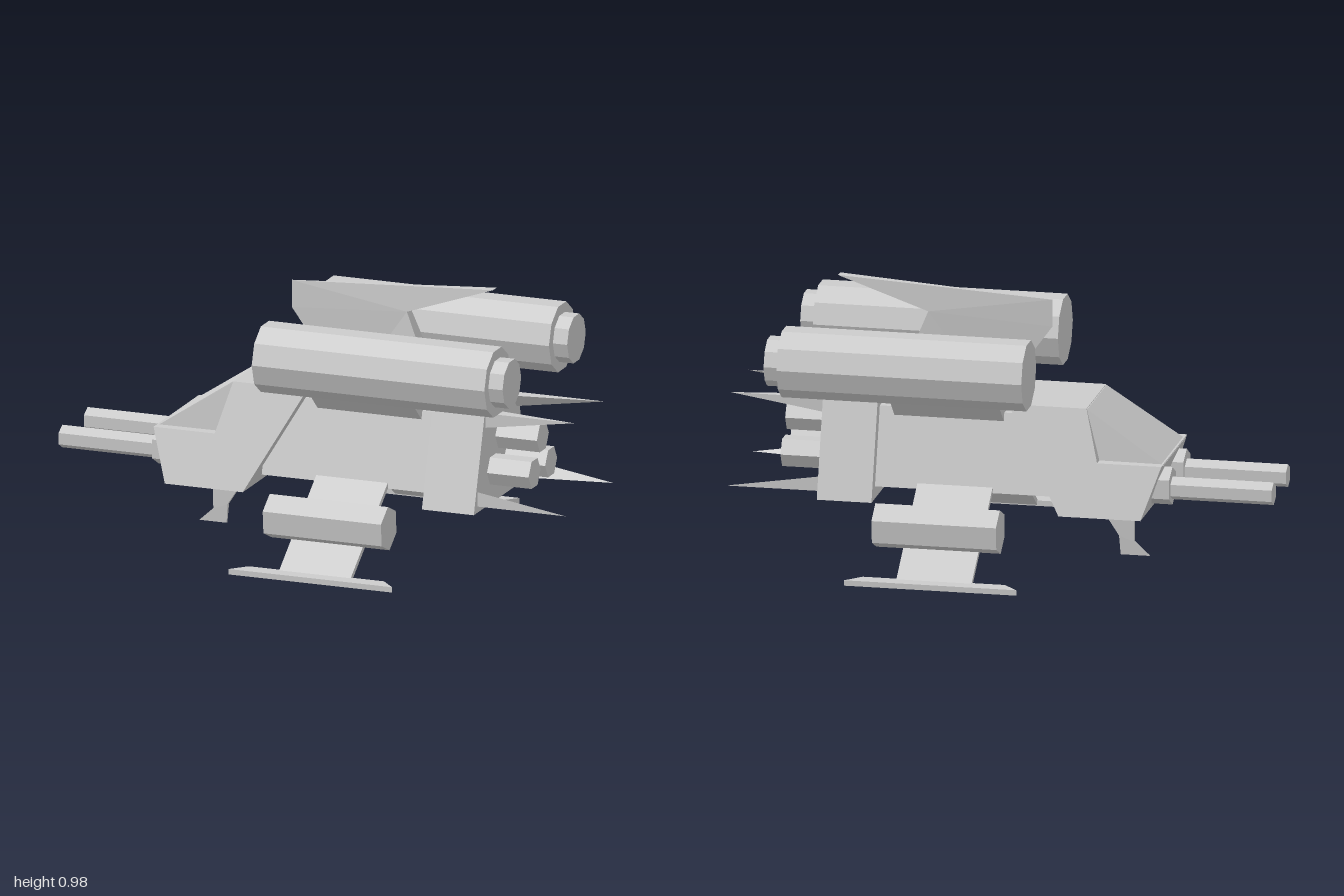
import * as THREE from 'three';

const material = new THREE.MeshStandardMaterial({ color: 0xcccccc, flatShading: true, side: THREE.DoubleSide });

// Closed solid between two matching rings of [x, y, z]; caps fan out from the first corner.
function loft(a, b) {
  const n = a.length, index = [], points = [...a, ...b];
  for (let i = 0; i < n; i++) {
    const j = (i + 1) % n;
    index.push(i, j, n + j, i, n + j, n + i);
    if (i > 0 && i < n - 1) index.push(0, i + 1, i, n, n + i, n + i + 1);
  }
  // Turn the faces outward when the enclosed volume is negative
  const v = points.map((p) => new THREE.Vector3(...p));
  let volume = 0;
  for (let i = 0; i < index.length; i += 3) {
    volume += v[index[i]].dot(v[index[i + 1]].clone().cross(v[index[i + 2]]));
  }
  if (volume < 0) index.reverse();
  const g = new THREE.BufferGeometry();
  g.setAttribute('position', new THREE.Float32BufferAttribute(points.flat(), 3));
  g.setIndex(index);
  const flat = g.toNonIndexed();
  flat.computeVertexNormals();
  return flat;
}

// Side profile of [x, y, half width], mirrored across z
const slab = (profile) => loft(profile.map(([x, y, w]) => [x, y, w]), profile.map(([x, y, w]) => [x, y, -w]));

// Block along x with a trapezoid section
const trapezoid = (x0, x1, y0, y1, w0, w1) =>
  slab([[x0, y0, w0], [x1, y0, w0], [x1, y1, w1], [x0, y1, w1]]);

// Prism along x, its first corner at the given angle from +z towards +y
function prism(x0, x1, y, z, r, sides, angle = 0) {
  const g = new THREE.CylinderGeometry(r, r, x1 - x0, sides);
  g.rotateZ(-Math.PI / 2).rotateX(-angle).translate((x0 + x1) / 2, y, z);
  return g;
}

// Box tilted about x
const tiltedBox = (x0, x1, thick, long, tilt, y, z) =>
  new THREE.BoxGeometry(x1 - x0, thick, long).rotateX(tilt).translate((x0 + x1) / 2, y, z);

export function createModel() {
  const model = new THREE.Group();
  const add = (name, geometry) => {
    const mesh = new THREE.Mesh(geometry, material);
    mesh.name = name;
    model.add(mesh);
  };

  // Fuselage
  add('middleHull', trapezoid(-0.2, 0.46, 0.257, 0.535, 0.205, 0.122));
  add('rearHull', trapezoid(0.44, 0.64, 0.212, 0.577, 0.265, 0.155));

  // Cockpit shell, with the narrower cabin filling the window recess
  const width = (y) => 0.275 - (y - 0.205) * 0.29;
  add('cockpitShell', slab([
    [-0.375, 0.395], [-0.325, 0.58], [-0.04, 0.58], [-0.245, 0.205], [-0.545, 0.205], [-0.61, 0.395],
  ].map(([x, y]) => [x, y, width(y)])));
  add('cabin', slab([[-0.61, 0.39, 0.185], [-0.32, 0.39, 0.18], [-0.32, 0.578, 0.163], [-0.328, 0.578, 0.163]]));

  // Tail fin, sharp at the front and thick at the back
  add('tailFin', slab([
    [0.285, 0.865, 0.02], [0.42, 0.535, 0.047], [0.05, 0.535, 0.002],
    [-0.165, 0.83, 0.002], [-0.165, 0.93, 0.002], [0.615, 0.98, 0.018],
  ]));

  // Skid below the nose
  add('noseSkid', slab([
    [-0.465, 0.05, 0.007], [-0.465, 0.21, 0.013], [-0.32, 0.21, 0.013],
    [-0.41, 0.07, 0.008], [-0.415, 0, 0.004], [-0.52, 0, 0.004],
  ]));

  // Rear thrusters
  for (const [y, z] of [[0.45, 0], [0.335, 0.08], [0.335, -0.08]]) {
    add('rearThruster', prism(0.62, 0.8, y, z, 0.058, 6));
  }

  for (const s of [1, -1]) {
    // Nose guns
    add('gunCollar', prism(-0.63, -0.54, 0.3, s * 0.122, 0.07, 6, Math.PI / 2));
    add('gunBarrel', prism(-1, -0.6, 0.292, s * 0.122, 0.042, 6, Math.PI / 2));

    // Upper engines on slanted pylons
    add('engine', prism(-0.145, 0.75, 0.732, s * 0.312, 0.128, 10));
    add('engineNozzle', prism(0.74, 0.805, 0.732, s * 0.312, 0.09, 10));
    add('enginePylon', tiltedBox(-0.015, 0.385, 0.046, 0.25, -s * 0.74, 0.6, s * 0.2));

    // Lower wings with pods and landing feet
    add('wing', tiltedBox(0.01, 0.285, 0.018, 0.45, s * 0.624, 0.139, s * 0.3825));
    const lean = 1.48;
    add('wingPod', prism(-0.07, 0.385, 0.184, s * 0.447, 0.083, 6, s > 0 ? lean : Math.PI - lean));
    const foot = (y) => [
      [-0.11, y, s * 0.555], [0.41, y, s * 0.555], [0.465, y, s * 0.615], [-0.165, y, s * 0.615],
    ];
    add('landingFoot', loft(foot(0), foot(0.02)));

    // Rear spikes at the hull corners
    for (const [y, z, up] of [[0.56, 0.15, -0.055], [0.235, 0.23, 0.055]]) {
      const tip = [0.98, y, s * z];
      add('rearSpike', loft(
        [[0.63, y, s * z], [0.63, y, s * (z - 0.055)], [0.63, y + up, s * z]],
        [tip, tip, tip],
      ));
    }
  }
  return model;
}
